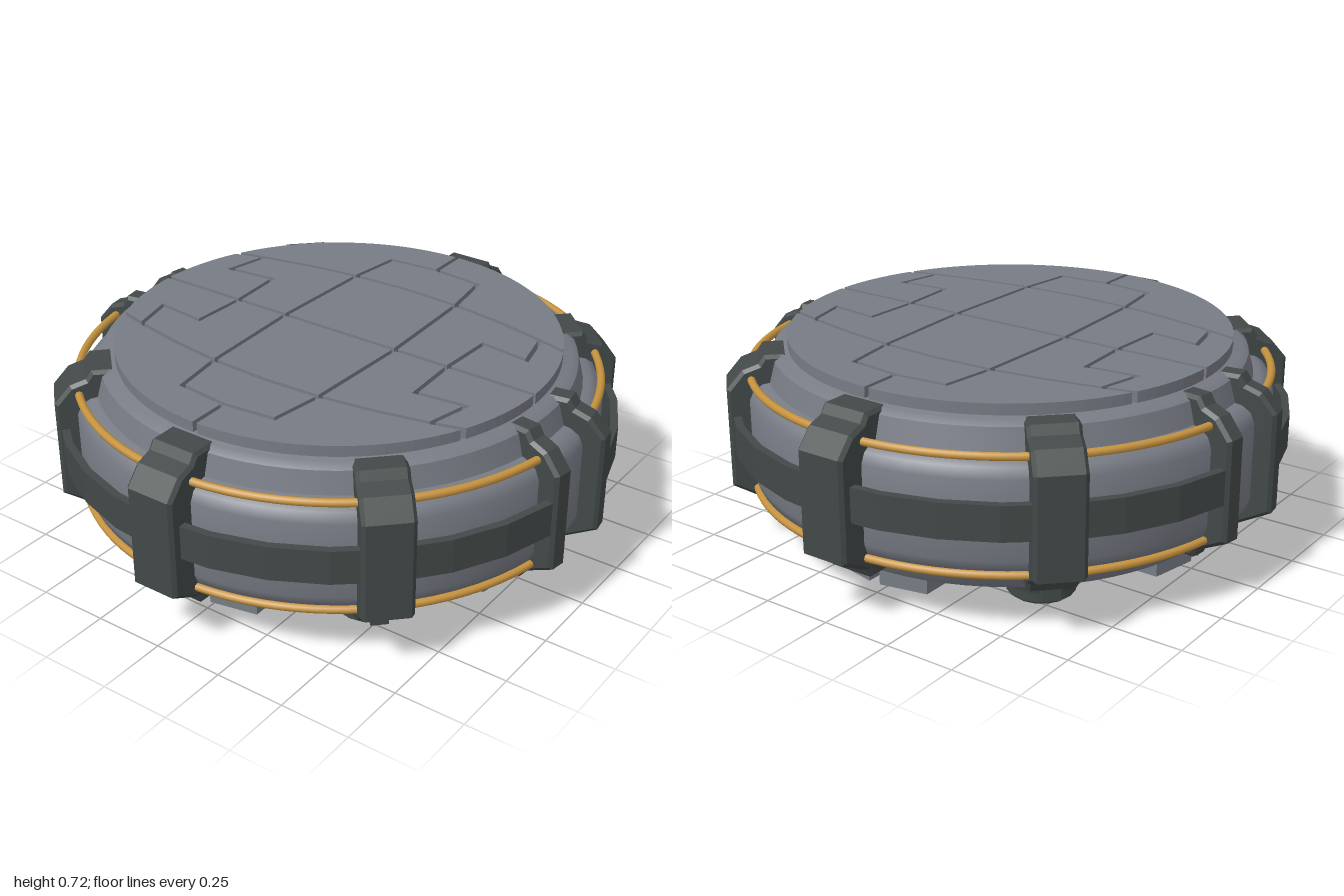
import * as THREE from 'three';
import { toCreasedNormals } from 'three/addons/utils/BufferGeometryUtils.js';

const rad = THREE.MathUtils.degToRad;

function mat(name, color) {
  const m = new THREE.MeshStandardMaterial({ color });
  m.name = name;
  return m;
}

// Points on a circle between two angles, in degrees
function arc(r, from, to, steps) {
  const pts = [];
  for (let i = 0; i <= steps; i++) {
    const a = rad(from + (to - from) * i / steps);
    pts.push([r * Math.cos(a), r * Math.sin(a)]);
  }
  return pts;
}

// Shrinks a polygon by d on every side
function inset(points, d) {
  let p = points.map(([x, y]) => new THREE.Vector2(x, y));
  if (THREE.ShapeUtils.area(p) < 0) p = p.reverse();
  const n = p.length;
  return p.map((c, i) => {
    const e1 = c.clone().sub(p[(i + n - 1) % n]).normalize();
    const e2 = p[(i + 1) % n].clone().sub(c).normalize();
    const n1 = new THREE.Vector2(-e1.y, e1.x);
    const n2 = new THREE.Vector2(-e2.y, e2.x);
    const k = d / Math.max(0.3, 1 + n1.dot(n2));
    return c.clone().addScaledVector(n1.add(n2), k);
  });
}

// Flat plate from an outline in plan, standing on y
function plate(points, y, height) {
  const shape = new THREE.Shape(points.map(p => (p.isVector2 ? p : new THREE.Vector2(p[0], p[1]))));
  const geo = new THREE.ExtrudeGeometry(shape, { depth: height, bevelEnabled: false });
  return geo.rotateX(-Math.PI / 2).translate(0, y, 0);
}

export function createModel() {
  const model = new THREE.Group();
  const grey = mat('grey metal', 0x777b84);
  const dark = mat('dark metal', 0x424948);
  const copper = mat('copper', 0xc6933f);

  function add(name, geo, material, parent = model) {
    const mesh = new THREE.Mesh(geo, material);
    mesh.name = name;
    parent.add(mesh);
    return mesh;
  }
  function group(name) {
    const g = new THREE.Group();
    g.name = name;
    model.add(g);
    return g;
  }

  // Round body with a bulging middle
  const profile = [
    [0, 0.11], [0.785, 0.11], [0.8, 0.13], [0.835, 0.195], [0.865, 0.2], [0.895, 0.22], [0.91, 0.26],
    [0.91, 0.53], [0.895, 0.565], [0.865, 0.585], [0.84, 0.59], [0.82, 0.665], [0.795, 0.682], [0, 0.682],
  ].map(([r, y]) => new THREE.Vector2(r, y));
  add('body', toCreasedNormals(new THREE.LatheGeometry(profile, 72), 0.65), grey);

  // Top deck: separate plates with grooves between them
  const deck = group('topDeck');
  const R = 0.775;
  const A = [0, 0.23], B = [0.41, 0.215], C = [0.42, 0], D = [0.605, 0.188], E = [0.625, 0];
  const M = [0.385, 0.4], G = [0.345, 0.595], N1 = [0.19, 0.63], N2 = [0.21, 0.45], N3 = [0, 0.44];
  const hubAngle = 66;
  const flip = ([x, z]) => [x, -z];
  const halfPlates = {
    centrePlate: [A, B, C, flip(B), flip(A)],
    sidePlate: [B, D, E, flip(D), flip(B), C],
  };
  const quarterPlates = {
    innerPlate: [A, B, M, G, N1, N2, N3],
    endPlate: [N3, N2, N1, G, ...arc(R, hubAngle, 90, 8)],
    outerPlate: [M, B, D, E, ...arc(R, 0, hubAngle, 20), G],
  };
  for (const sx of [1, -1]) {
    for (const [name, pts] of Object.entries(halfPlates)) {
      add(name, plate(inset(pts.map(([x, z]) => [x * sx, z]), 0.008), 0.675, 0.045), grey, deck);
    }
    for (const sz of [1, -1]) {
      for (const [name, pts] of Object.entries(quarterPlates)) {
        add(name, plate(inset(pts.map(([x, z]) => [x * sx, z * sz]), 0.008), 0.675, 0.045), grey, deck);
      }
    }
  }

  // Clamps gripping the rim
  const clamps = group('clamps');
  function clamp(angle, outer, width) {
    const s = outer - 1;
    const shape = new THREE.Shape([
      [0.78, 0.13], [0.87 + s, 0.13], [0.885 + s, 0.16], [1 + s, 0.22], [1 + s, 0.57],
      [0.945 + s, 0.635], [0.89 + s, 0.655], [0.87 + s, 0.685], [0.78, 0.685],
    ].map(([x, y]) => new THREE.Vector2(x, y)));
    const b = 0.012;
    const geo = new THREE.ExtrudeGeometry(shape, {
      depth: width - 2 * b, bevelThickness: b, bevelSize: b, bevelOffset: -b, bevelSegments: 1,
    });
    geo.translate(0, 0, b - width / 2).rotateY(rad(angle));
    add('clamp', geo, dark, clamps);
  }
  for (const side of [0, 180]) {
    clamp(side, 1, 0.18);
    for (const s of [1, -1]) {
      clamp(side + s * 44.5, 0.98, 0.17);
      clamp(side + s * 81.5, 0.98, 0.078);
    }
  }

  // Belts and copper pipes on each side, open at front and back
  for (const side of [0, Math.PI]) {
    const ring = [...arc(0.972, -79, 79, 14), ...arc(0.945, 79, -79, 14)];
    add('belt', plate(ring, 0.355, 0.12).rotateY(side), dark);
    for (const y of [0.21, 0.603]) {
      const pipe = new THREE.TorusGeometry(0.9, 0.014, 8, 48, rad(163));
      pipe.rotateZ(rad(-81.5)).rotateX(Math.PI / 2).rotateY(side).translate(0, y, 0);
      add('pipe', pipe, copper);
    }
  }

  // Underside: four corner brackets forming a cross, and four feet
  const bracket = [
    [0.022, 0.022], [0.76, 0.022], [0.725, 0.19], [0.19, 0.19], [0.19, 0.725], [0.022, 0.76],
  ];
  for (const sx of [1, -1]) {
    for (const sz of [1, -1]) {
      const pts = bracket.map(([x, z]) => [x * sx, z * sz]);
      add('undersideBracket', plate(pts, 0.04, 0.075), grey);

      const foot = group('foot');
      foot.position.set(0.42 * sx, 0, 0.425 * sz);
      add('footCollar', toCreasedNormals(new THREE.CylinderGeometry(0.15, 0.14, 0.055, 20), 0.6)
        .translate(0, 0.085, 0), dark, foot);
      add('footPad', toCreasedNormals(new THREE.LatheGeometry([
        [0, 0], [0.1, 0], [0.115, 0.012], [0.115, 0.065], [0, 0.065],
      ].map(([r, y]) => new THREE.Vector2(r, y)), 16), 0.6), dark, foot);
      for (let i = 0; i < 4; i++) {
        const lug = new THREE.BoxGeometry(0.09, 0.045, 0.06).translate(0.14, 0.075, 0);
        add('footLug', lug.rotateY(rad(45 + 90 * i)), dark, foot);
      }
    }
  }
  return model;
}
